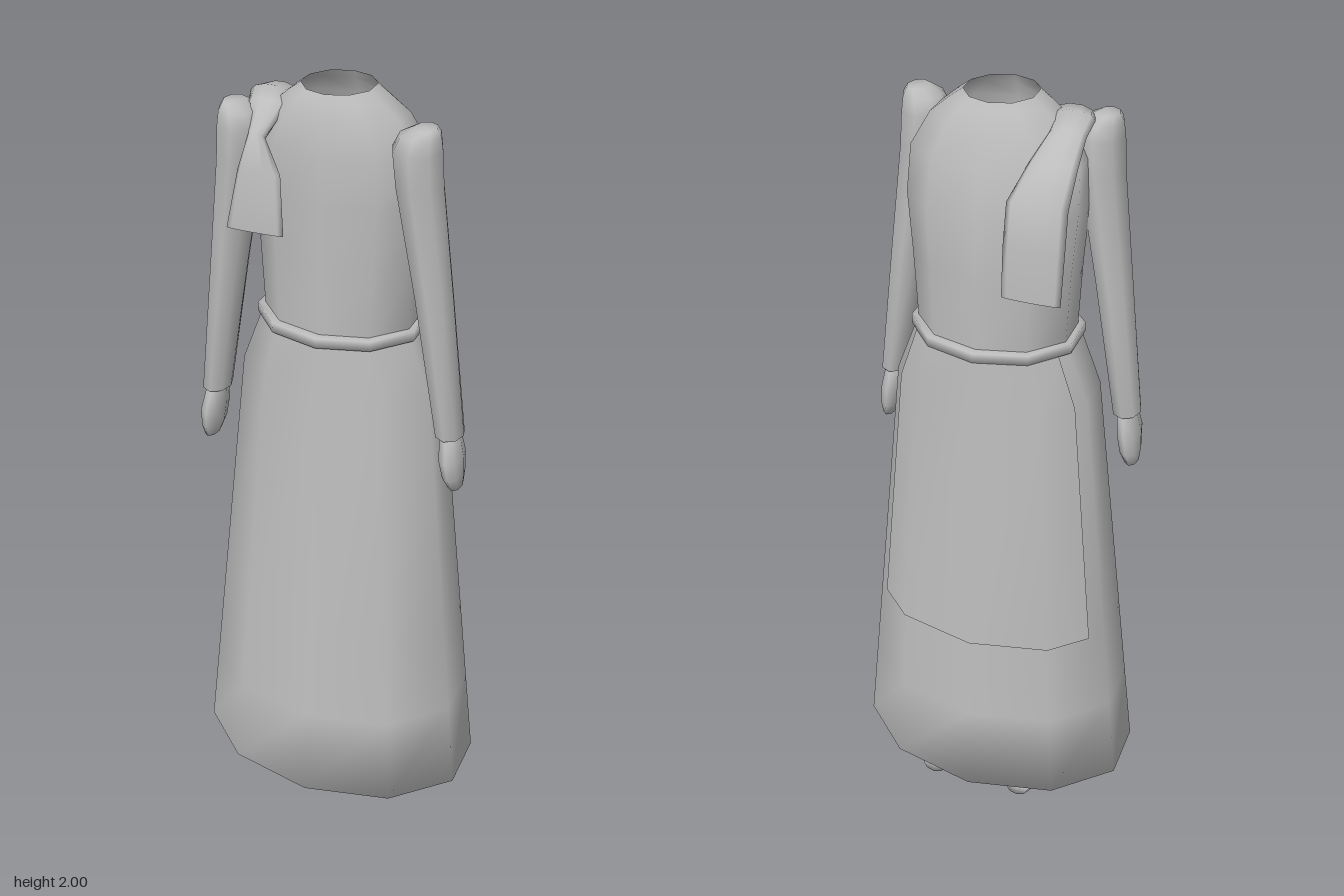
import * as THREE from 'three';

const V = (x, y, z) => new THREE.Vector3(x, y, z);

// Smooth skin over elliptical sections { c, u, v }, with u x v along the path
function loft(sections, sides, { cap = false, phase = 0 } = {}) {
  const pos = [], idx = [];
  sections.forEach(({ c, u, v }) => {
    for (let j = 0; j < sides; j++) {
      const a = (j / sides) * Math.PI * 2 + phase;
      const p = c.clone().addScaledVector(u, Math.cos(a)).addScaledVector(v, Math.sin(a));
      pos.push(p.x, p.y, p.z);
    }
  });
  for (let i = 0; i < sections.length - 1; i++) {
    for (let j = 0; j < sides; j++) {
      const k = (j + 1) % sides;
      const a = i * sides + j, b = i * sides + k;
      idx.push(a, b, b + sides, a, b + sides, a + sides);
    }
  }
  if (cap) {
    const last = sections.length - 1, n = sections.length * sides;
    [0, last].forEach(i => pos.push(...sections[i].c.toArray()));
    for (let j = 0; j < sides; j++) {
      const k = (j + 1) % sides;
      idx.push(n, k, j, n + 1, last * sides + j, last * sides + k);
    }
  }
  return buffer(pos, idx);
}

function buffer(pos, idx) {
  const g = new THREE.BufferGeometry();
  g.setAttribute('position', new THREE.Float32BufferAttribute(pos, 3));
  g.setIndex(idx);
  g.computeVertexNormals();
  return g;
}

// Horizontal section: height, half width, half depth, centre
const level = ([y, rx, rz, cz = 0, cx = 0]) => ({ c: V(cx, y, cz), u: V(0, 0, rz), v: V(rx, 0, 0) });

// Outer skirt levels, from hem to waist
const SKIRT = [
  [0.07, 0.388, 0.263, 0],
  [0.32, 0.361, 0.244, -0.003],
  [0.57, 0.334, 0.224, -0.006],
  [1.27, 0.258, 0.172, -0.014],
  [1.41, 0.203, 0.165, -0.015],
];

function apronGeometry() {
  const rows = [SKIRT[2], SKIRT[3], [1.405, 0.205, 0.166, -0.015]];
  const s36 = Math.sin(Math.PI / 5), c36 = Math.cos(Math.PI / 5);
  const s72 = Math.sin(Math.PI * 0.4), c72 = Math.cos(Math.PI * 0.4);
  const edge = [s36 * 0.3 + s72 * 0.7, c36 * 0.3 + c72 * 0.7];
  const cols = [[edge[0], edge[1]], [s36, c36], [0, 1], [-s36, c36], [-edge[0], edge[1]]];
  const pos = [], idx = [], n = cols.length;
  rows.forEach(([y, rx, rz, cz]) => cols.forEach(([x, z]) =>
    pos.push(x * (rx + 0.009), y, cz - z * (rz + 0.009))));
  for (let i = 0; i < rows.length - 1; i++) {
    for (let j = 0; j < n - 1; j++) {
      const a = i * n + j;
      idx.push(a, a + 1, a + n + 1, a, a + n + 1, a + n);
    }
  }
  return buffer(pos, idx);
}

// Cloth draped over the shoulder: z, y, inner x, outer x, half thickness
function towelGeometry() {
  const path = [
    [-0.200, 1.60, -0.075, -0.215, 0.006],
    [-0.185, 1.72, -0.073, -0.217, 0.014],
    [-0.168, 1.82, -0.075, -0.217, 0.018],
    [-0.110, 1.89, -0.105, -0.217, 0.020],
    [-0.050, 1.94, -0.130, -0.216, 0.020],
    [0.010, 1.955, -0.120, -0.217, 0.018],
    [0.060, 1.945, -0.105, -0.200, 0.020],
    [0.115, 1.89, -0.135, -0.175, 0.022],
    [0.148, 1.82, -0.085, -0.190, 0.018],
    [0.165, 1.68, -0.073, -0.215, 0.006],
  ];
  const pts = path.map(([z, y]) => V(0, y, z));
  const sections = path.map(([z, y, xa, xb, t], i) => {
    const dir = pts[Math.min(i + 1, pts.length - 1)].clone().sub(pts[Math.max(i - 1, 0)]).normalize();
    const u = V((xa - xb) / 2, 0, 0);
    return { c: V((xa + xb) / 2, y, z), u, v: dir.cross(V(1, 0, 0)).multiplyScalar(t) };
  });
  return loft(sections, 10, { cap: true });
}

export function createModel() {
  const model = new THREE.Group();
  model.name = 'dressedFigure';
  const grey = new THREE.MeshStandardMaterial({ color: 0xbcbcbc, side: THREE.DoubleSide });
  grey.name = 'plain grey';
  const add = (parent, name, geometry) => {
    const mesh = new THREE.Mesh(geometry, grey);
    mesh.name = name;
    parent.add(mesh);
    return mesh;
  };

  // Skirt with a turned-in hem
  add(model, 'skirt', loft([[0.3, 0.342, 0.227, 0], ...SKIRT].map(level), 10));

  // Bodice, open at the neck
  add(model, 'bodice', loft([
    [1.40, 0.195, 0.152, -0.018],
    [1.60, 0.205, 0.152, -0.018],
    [1.75, 0.217, 0.148, -0.016],
    [1.86, 0.212, 0.133, -0.002],
    [1.94, 0.165, 0.113, 0.004],
    [1.98, 0.115, 0.095, 0.008],
    [2.00, 0.086, 0.085, 0.008],
  ].map(level), 10));

  // Belt band, closed all round
  add(model, 'belt', loft([
    [1.405, 0.195, 0.155, -0.016],
    [1.405, 0.213, 0.175, -0.016],
    [1.430, 0.213, 0.175, -0.016],
    [1.430, 0.195, 0.152, -0.016],
  ].map(level), 10));

  add(model, 'apron', apronGeometry());
  add(model, 'shoulderTowel', towelGeometry());

  // Limbs, built on the +x side and mirrored
  const sleeve = loft([
    [1.19, 0.036, 0.048, 0.063, 0.310],
    [1.55, 0.047, 0.055, 0.067, 0.259],
    [1.82, 0.057, 0.064, 0.072, 0.218],
    [1.90, 0.059, 0.065, 0.073, 0.211],
    [1.935, 0.048, 0.054, 0.073, 0.217],
    [1.952, 0.026, 0.034, 0.073, 0.228],
  ].map(level), 8, { cap: true });
  const hand = loft([
    [1.045, 0.017, 0.034, 0.062, 0.331],
    [1.08, 0.026, 0.050, 0.064, 0.325],
    [1.13, 0.030, 0.056, 0.066, 0.319],
    [1.20, 0.024, 0.038, 0.062, 0.309],
  ].map(level), 8, { cap: true });
  const leg = loft([
    [0.05, 0.040, 0.045, 0.045, 0.122],
    [0.20, 0.045, 0.050, 0.030, 0.115],
    [0.50, 0.055, 0.060, 0.000, 0.105],
  ].map(level), 8, { cap: true });
  // Shoe sections run from toe to heel: z, y, half width, half height
  const shoe = loft([
    [-0.210, 0.040, 0.030, 0.026],
    [-0.165, 0.044, 0.052, 0.044],
    [-0.080, 0.050, 0.057, 0.050],
    [0.020, 0.056, 0.048, 0.053],
    [0.085, 0.055, 0.044, 0.044],
    [0.112, 0.050, 0.030, 0.032],
  ].map(([z, y, rx, ry]) => ({ c: V(0.125, y, z), u: V(rx, 0, 0), v: V(0, ry, 0) })),
  8, { cap: true });

  for (const [side, sign] of [['left', 1], ['right', -1]]) {
    const limbs = new THREE.Group();
    limbs.name = side + 'Limbs';
    limbs.scale.x = sign;
    add(limbs, side + 'Sleeve', sleeve);
    add(limbs, side + 'Hand', hand);
    add(limbs, side + 'Leg', leg);
    add(limbs, side + 'Shoe', shoe);
    model.add(limbs);
  }
  return model;
}
